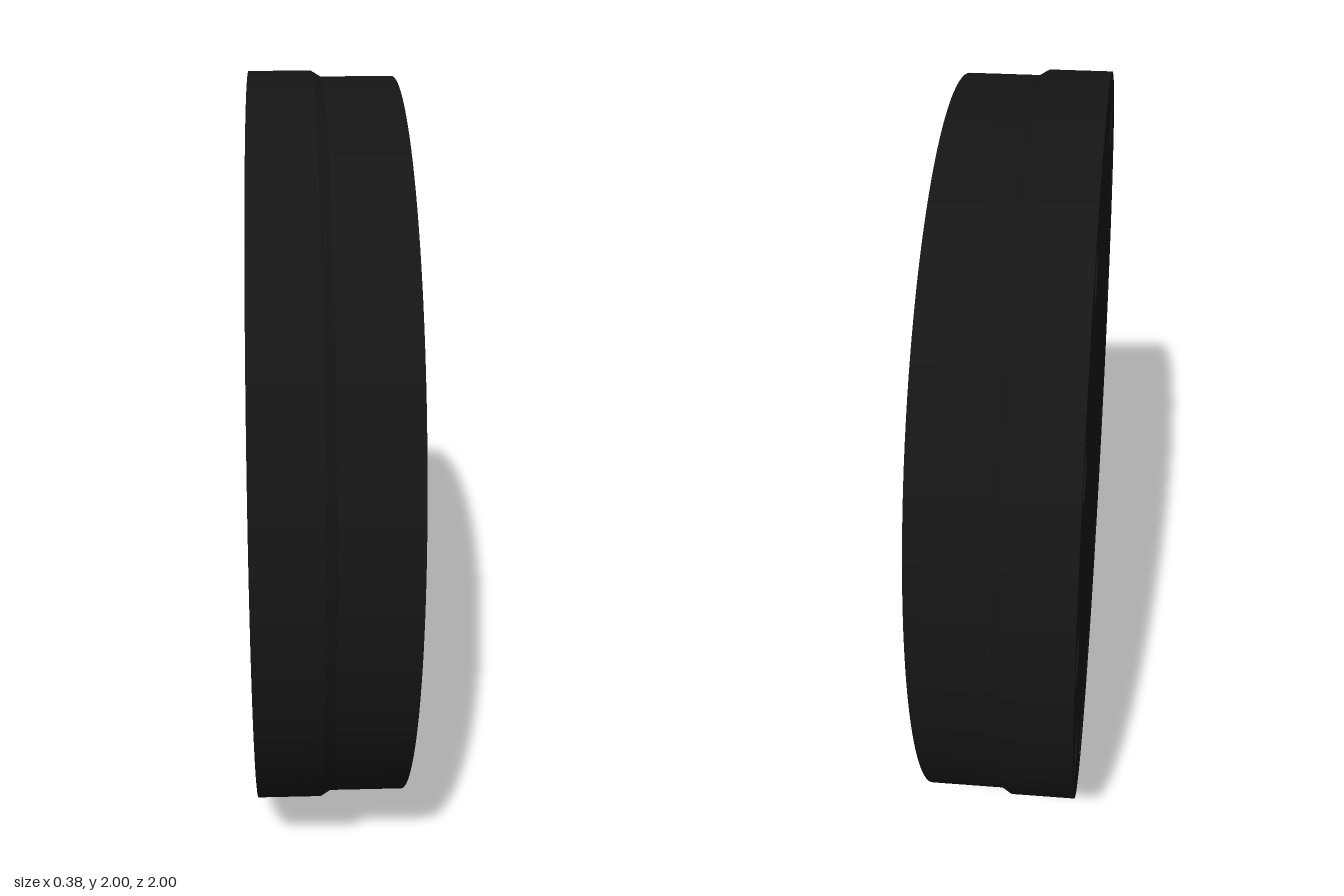
import * as THREE from 'three';
import { toCreasedNormals } from 'three/addons/utils/BufferGeometryUtils.js';

// The disc is modelled along local z, then turned so its recessed face points to +x.
const FRONT = 0.19, BACK = -0.19, FLOOR = 0.1, POCKET_FLOOR = 0.088;
const R_FRONT = 0.985, R_BACK = 1;
const BOLT_CIRCLE = 0.88, HOLE_R = 0.07;
const RECESS_R = 0.565, POCKET_R = 0.145, POCKET_DIST = 0.46;
const POCKET_ANGLES = [-Math.PI / 3, Math.PI / 3, Math.PI];

const at = (r, a) => new THREE.Vector2(r * Math.cos(a), r * Math.sin(a));

// Recess outline: main arcs joined by pocket arcs that run outward or inward
function recessOutline(outward) {
  const d = Math.acos((POCKET_DIST ** 2 + RECESS_R ** 2 - POCKET_R ** 2) / (2 * POCKET_DIST * RECESS_R));
  const phi = Math.atan2(RECESS_R * Math.sin(d), RECESS_R * Math.cos(d) - POCKET_DIST);
  const sweep = outward ? 2 * phi : 2 * phi - 2 * Math.PI;
  const pts = [];
  for (const a of POCKET_ANGLES) {
    const centre = at(POCKET_DIST, a);
    for (let i = 0; i < 32; i++) pts.push(at(POCKET_R, a - phi + sweep * i / 32).add(centre));
    const span = 2 * Math.PI / 3 - 2 * d;
    for (let i = 0; i < 40; i++) pts.push(at(RECESS_R, a + d + span * i / 40));
  }
  return pts;
}

// Inward-facing wall along a closed outline
function innerWall(pts, zTop, zBottom) {
  const pos = [], index = [], n = pts.length;
  pts.forEach((p, i) => {
    const j = (i + 1) % n;
    pos.push(p.x, p.y, zTop, p.x, p.y, zBottom);
    index.push(2 * i, 2 * j + 1, 2 * i + 1, 2 * i, 2 * j, 2 * j + 1);
  });
  const geo = new THREE.BufferGeometry();
  geo.setAttribute('position', new THREE.Float32BufferAttribute(pos, 3));
  geo.setIndex(index);
  return toCreasedNormals(geo, Math.PI / 6);
}

// Surface of revolution about z from [radius, z] pairs
function turned(profile, segments) {
  const pts = profile.map(([r, z]) => new THREE.Vector2(r, z));
  return new THREE.LatheGeometry(pts, segments).rotateX(Math.PI / 2);
}

// Flat round face with the given circular holes
function face(radius, holeCentres) {
  const shape = new THREE.Shape().absarc(0, 0, radius, 0, Math.PI * 2);
  for (const c of holeCentres) {
    shape.holes.push(new THREE.Path().absarc(c.x, c.y, HOLE_R, 0, Math.PI * 2, true));
  }
  return shape;
}

export function createModel() {
  const model = new THREE.Group();
  const disc = new THREE.Group();
  disc.name = 'disc';
  disc.rotation.y = Math.PI / 2;
  disc.position.y = 1;
  model.add(disc);

  const material = new THREE.MeshStandardMaterial({ color: 0x151515 });
  const add = (name, geometry, x = 0, y = 0, z = 0) => {
    const mesh = new THREE.Mesh(geometry, material);
    mesh.name = name;
    mesh.position.set(x, y, z);
    disc.add(mesh);
    return mesh;
  };

  // Rim: wide back band, chamfer, narrower front band
  const rim = [[R_BACK, BACK], [R_BACK, -0.025], [R_FRONT, 0], [R_FRONT, FRONT]];
  ['backRim', 'rimChamfer', 'frontRim'].forEach((name, i) =>
    add(name, turned([rim[i], rim[i + 1]], 128)));

  // Twelve bolt holes; the top one is blind with a rounded end
  const centres = Array.from({ length: 12 }, (_, i) => at(BOLT_CIRCLE, i * Math.PI / 6));
  const TOP = 3;
  const through = turned([[HOLE_R, FRONT], [HOLE_R, BACK]], 32);
  const blindProfile = [[HOLE_R, FRONT]];
  for (let i = 0; i <= 8; i++) {
    const a = i * Math.PI / 16;
    blindProfile.push([HOLE_R * Math.cos(a), -0.03 - HOLE_R * Math.sin(a)]);
  }
  const blind = turned(blindProfile, 32);
  centres.forEach((c, i) =>
    add(i === TOP ? 'blindHole' : 'boltHole', i === TOP ? blind : through, c.x, c.y));

  // Front face, opened for the holes and the recess
  const frontShape = face(R_FRONT, centres);
  const outline = recessOutline(true);
  frontShape.holes.push(new THREE.Path(outline));
  add('frontFace', new THREE.ShapeGeometry(frontShape, 64), 0, 0, FRONT);

  // Back face, without the blind hole
  const backShape = face(R_BACK, centres.filter((_, i) => i !== TOP));
  add('backFace', new THREE.ShapeGeometry(backShape, 64).rotateY(Math.PI), 0, 0, BACK);

  // Recess wall and floor
  add('recessWall', innerWall(outline, FRONT, FLOOR));
  add('recessFloor', new THREE.ShapeGeometry(new THREE.Shape(recessOutline(false))), 0, 0, FLOOR);

  // Three shallow round pockets in the recess floor
  const pocketWall = turned([[POCKET_R, FLOOR], [POCKET_R, POCKET_FLOOR]], 64);
  const pocketFloor = new THREE.CircleGeometry(POCKET_R, 64);
  for (const a of POCKET_ANGLES) {
    const c = at(POCKET_DIST, a);
    add('pocketWall', pocketWall, c.x, c.y);
    add('pocketFloor', pocketFloor, c.x, c.y, POCKET_FLOOR);
  }

  return model;
}
